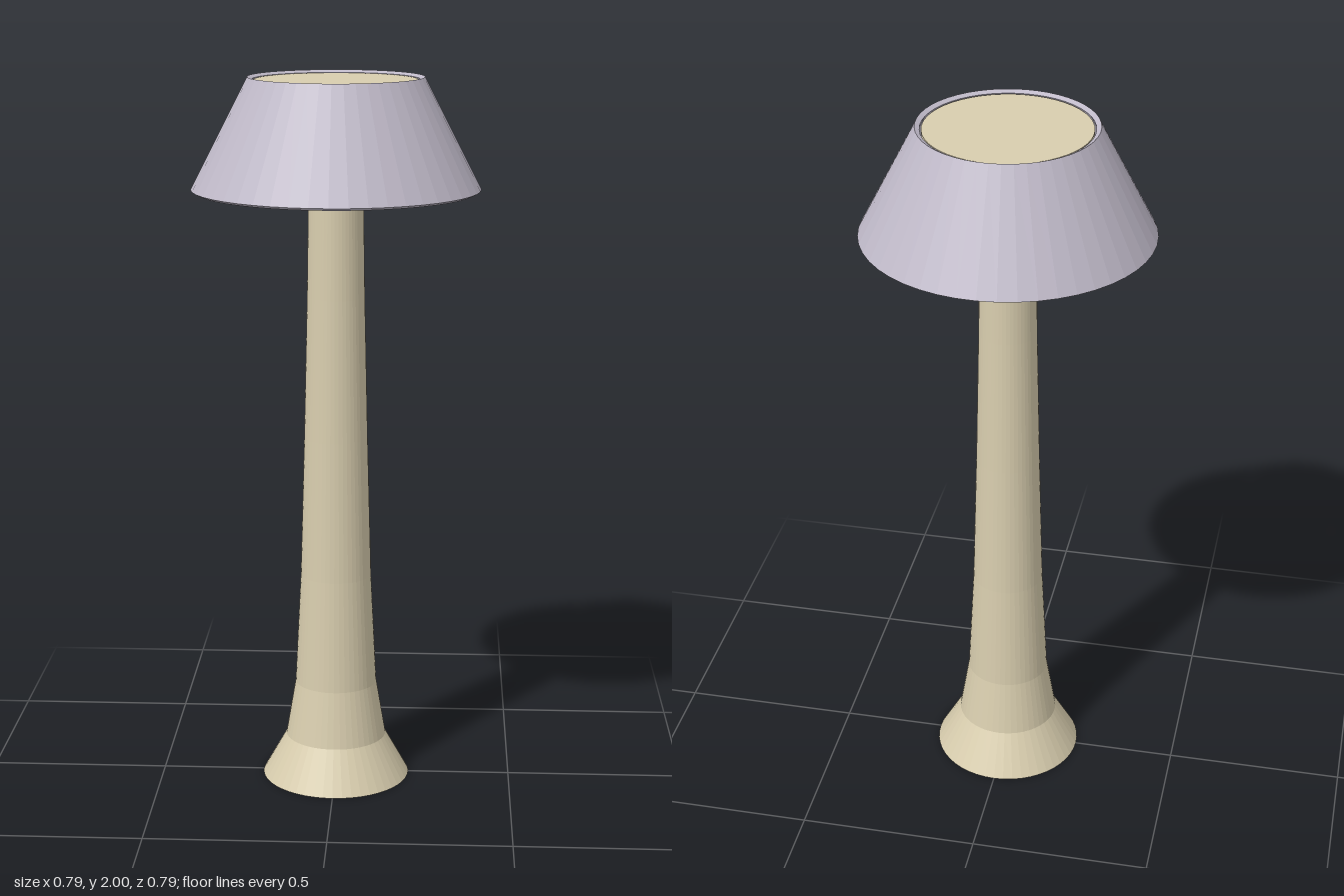
import * as THREE from 'three';

const SIDES = 48;

// Faceted solid of revolution; points run [radius, height], outer side going up
function turned(name, profile, material) {
  const points = profile.map(([r, y]) => new THREE.Vector2(r, y));
  const geometry = new THREE.LatheGeometry(points, SIDES).toNonIndexed();
  geometry.computeVertexNormals();
  const mesh = new THREE.Mesh(geometry, material);
  mesh.name = name;
  return mesh;
}

export function createModel() {
  const cream = new THREE.MeshStandardMaterial({ color: 0xd8cdae });
  cream.name = 'cream';
  const lilacGrey = new THREE.MeshStandardMaterial({ color: 0xc0bac9 });
  lilacGrey.name = 'lilacGrey';

  const lamp = new THREE.Group();
  lamp.name = 'lamp';

  // Flared foot running up into a slender stem
  lamp.add(turned('stem', [
    [0, 0], [0.21, 0], [0.143, 0.12], [0.116, 0.28], [0.1, 0.6],
    [0.089, 1.0], [0.08, 1.4], [0.075, 1.73], [0, 1.73],
  ], cream));

  // Open conical shade; its wall is cut square to the slope at both rims
  lamp.add(turned('shade', [
    [0.383, 1.691], [0.396, 1.698], [0.24, 2.0], [0.227, 1.993], [0.383, 1.691],
  ], lilacGrey));

  // Thin disc set just inside the top opening
  lamp.add(turned('topDisc', [
    [0, 1.984], [0.223, 1.984], [0.223, 1.992], [0, 1.992],
  ], cream));

  return lamp;
}
